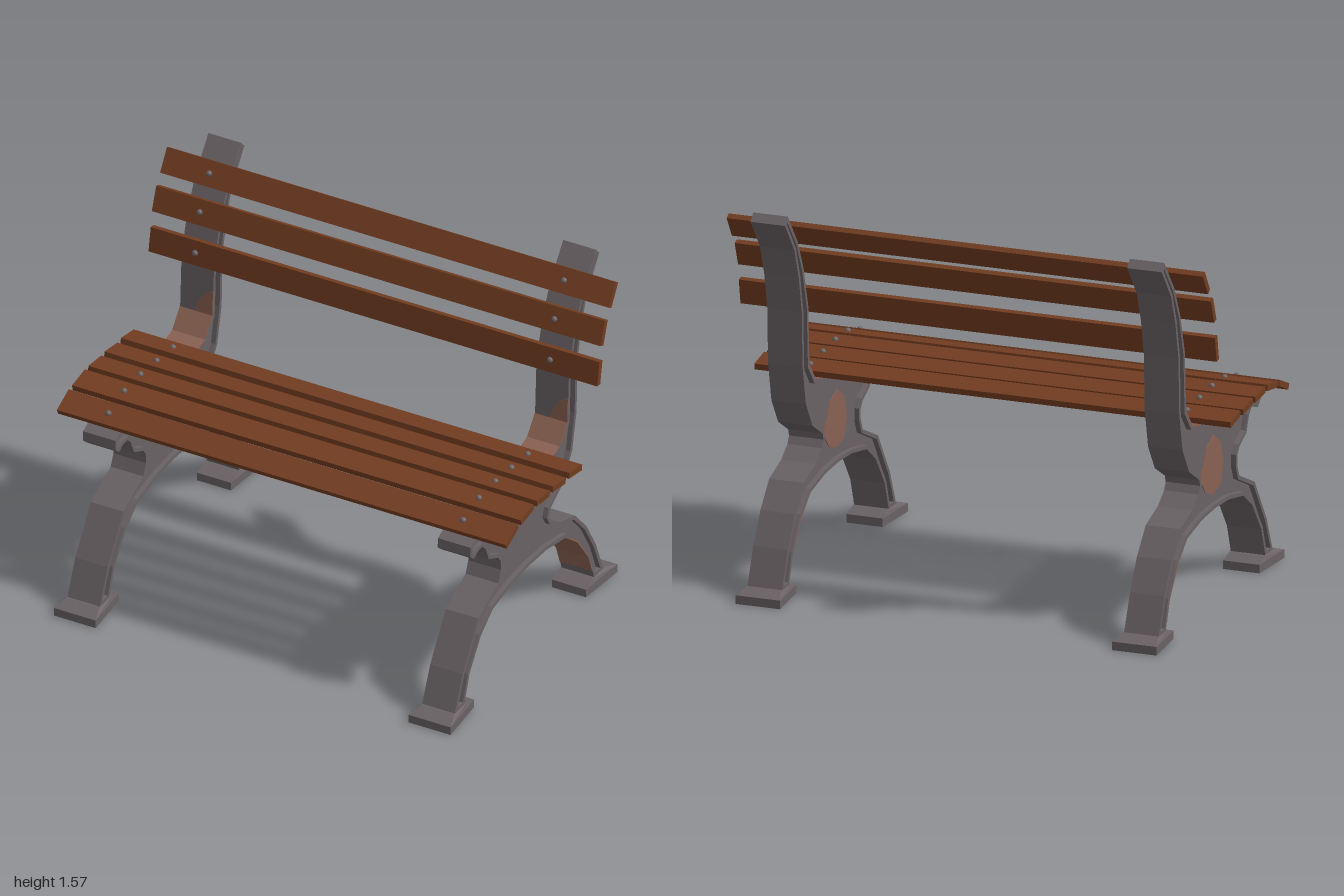
import * as THREE from 'three';
import { ConvexGeometry } from 'three/addons/geometries/ConvexGeometry.js';

const HALF = 0.0725;      // half thickness of the iron frame rim
const WEB = 0.052;        // half thickness of the recessed web
const FRAME_X = [-0.797, 0.785];

// Frame outline as [z, y]: front leg, seat, back post, rear leg, arch
const OUTLINE = [
  [.6, .05], [.535, .2], [.41, .387], [.25, .46], [.228, .51], [.228, .55], [.25, .578],
  [.325, .615], [.35, .675], [.375, .7], [.41, .7], [.445, .683], [.475, .71], [.472, .75],
  [.435, .766], [.34, .803], [.25, .822], [.11, .82], [-.06, .8], [-.16, .79], [-.245, .812],
  [-.308, .89], [-.32, 1.135], [-.37, 1.305], [-.43, 1.43], [-.535, 1.565], [-.563, 1.535],
  [-.465, 1.405], [-.42, 1.28], [-.388, 1.13], [-.38, .9], [-.345, .74], [-.275, .63],
  [-.17, .568], [-.16, .54], [-.177, .51], [-.243, .465], [-.368, .425], [-.46, .324],
  [-.534, .2], [-.596, .05], [-.522, .05], [-.48, .17], [-.389, .295], [-.293, .365],
  [-.14, .395], [0, .402], [.14, .395], [.293, .365], [.389, .295], [.48, .17], [.522, .05],
];

const toShape = (pts) => new THREE.Shape(pts.map(([z, y]) => new THREE.Vector2(z, y)));

// Moves every edge of a counter-clockwise outline inwards by d
function inset(pts, d) {
  const n = pts.length;
  const normal = (a, b) => {
    const l = Math.hypot(b[0] - a[0], b[1] - a[1]);
    return [-(b[1] - a[1]) / l, (b[0] - a[0]) / l];
  };
  return pts.map((p, i) => {
    const a = normal(pts[(i + n - 1) % n], p);
    const b = normal(p, pts[(i + 1) % n]);
    const k = d / (1 + a[0] * b[0] + a[1] * b[1]);
    return [p[0] + (a[0] + b[0]) * k, p[1] + (a[1] + b[1]) * k];
  });
}

// Extrudes a [z, y] shape along x, centred on x = 0
function extrudeX(shape, half) {
  const g = new THREE.ExtrudeGeometry(shape, { depth: half * 2, bevelEnabled: false });
  return g.translate(0, 0, -half).rotateY(-Math.PI / 2);
}

// Thin ribbon following a [z, y] path, with its thickness along (dz, dy)
function ribbon(path, dz, dy) {
  const back = path.map(([z, y]) => [z + dz, y + dy]).reverse();
  return extrudeX(toShape([...path, ...back]), HALF);
}

// Foot plate, wider at its outer end, with a sloped top
function footGeometry(s) {
  const pts = [];
  const ring = (y, z0, z1, w0, w1) => {
    for (const x of [-1, 1]) {
      pts.push(new THREE.Vector3(x * w0, y, s * z0), new THREE.Vector3(x * w1, y, s * z1));
    }
  };
  ring(0, .45, .67, .076, .0935);
  ring(.035, .45, .67, .076, .0935);
  ring(.053, .505, .61, .073, .075);
  return new ConvexGeometry(pts);
}

export function createModel() {
  const iron = new THREE.MeshStandardMaterial({ color: 0x6a6265 });
  iron.name = 'iron';
  const wood = new THREE.MeshStandardMaterial({ color: 0x713c20 });
  wood.name = 'wood';
  const rust = new THREE.MeshStandardMaterial({ color: 0x8a6152 });
  rust.name = 'rust';

  const model = new THREE.Group();
  model.name = 'bench';
  const add = (parent, name, geometry, material) => {
    const mesh = new THREE.Mesh(geometry, material);
    mesh.name = name;
    parent.add(mesh);
    return mesh;
  };

  // Raised rim and recessed web of the iron frames
  const inner = inset(OUTLINE, 0.016);
  const rimShape = toShape(OUTLINE);
  rimShape.holes.push(toShape(inner));
  const rimGeometry = extrudeX(rimShape, HALF);
  const webGeometry = extrudeX(toShape(inner), WEB);

  // Rust on the bend, the rear leg and the web
  const bendRust = ribbon([[-.158, .793], [-.244, .816], [-.305, .892]], -.004, -.006);
  const legRust = ribbon([[-.505, .09], [-.477, .168], [-.386, .291], [-.33, .335]], -.005, .005);
  const webRust = extrudeX(toShape([
    [.1, .47], [.13, .55], [.1, .64], [.03, .69], [-.05, .66], [-.09, .59], [-.12, .55], [-.06, .48], [.02, .45],
  ]), .002);

  // Curved rust patch at the foot of the back post
  const patch = new THREE.Shape();
  patch.moveTo(-.005, .89);
  patch.lineTo(HALF, .89);
  patch.lineTo(HALF, 1.0);
  patch.quadraticCurveTo(.01, .975, -.005, .89);
  const postRust = new THREE.ExtrudeGeometry(patch, { depth: .006, bevelEnabled: false });
  const pos = postRust.attributes.position;
  for (let i = 0; i < pos.count; i++) {
    pos.setZ(i, pos.getZ(i) - .311 - (pos.getY(i) - .89) * .049);
  }

  FRAME_X.forEach((x, i) => {
    const frame = new THREE.Group();
    frame.name = i ? 'leftFrame' : 'rightFrame';
    frame.position.x = x;
    model.add(frame);
    add(frame, 'frameRim', rimGeometry, iron);
    add(frame, 'frameWeb', webGeometry, iron);
    add(frame, 'frontFoot', footGeometry(1), iron);
    add(frame, 'rearFoot', footGeometry(-1), iron);
    add(frame, 'bendRust', bendRust, rust);
    add(frame, 'legRust', legRust, rust);
    add(frame, 'postRust', postRust, rust);
    add(frame, 'webRust', webRust, rust).position.x = -WEB - .001;
  });

  // Slats as [name, z, y, tilt in degrees], each with a bolt at both frames
  const slats = [
    ['seatSlat', .395, .804, 24], ['seatSlat', .272, .835, 9], ['seatSlat', .144, .838, -6],
    ['seatSlat', .015, .828, -9], ['seatSlat', -.116, .816, -10],
    ['backSlat', -.31, 1.163, 80], ['backSlat', -.345, 1.33, 70], ['backSlat', -.42, 1.464, 58],
  ];
  const slatGeometry = new THREE.BoxGeometry(2, .025, .104);
  const boltGeometry = new THREE.SphereGeometry(.013, 10, 4, 0, Math.PI * 2, 0, Math.PI / 2);
  for (const [name, z, y, tilt] of slats) {
    const slat = new THREE.Group();
    slat.name = name;
    slat.position.set(0, y, z);
    slat.rotation.x = THREE.MathUtils.degToRad(tilt);
    model.add(slat);
    add(slat, 'plank', slatGeometry, wood);
    for (const x of FRAME_X) add(slat, 'bolt', boltGeometry, iron).position.set(x, .0123, 0);
  }
  return model;
}
